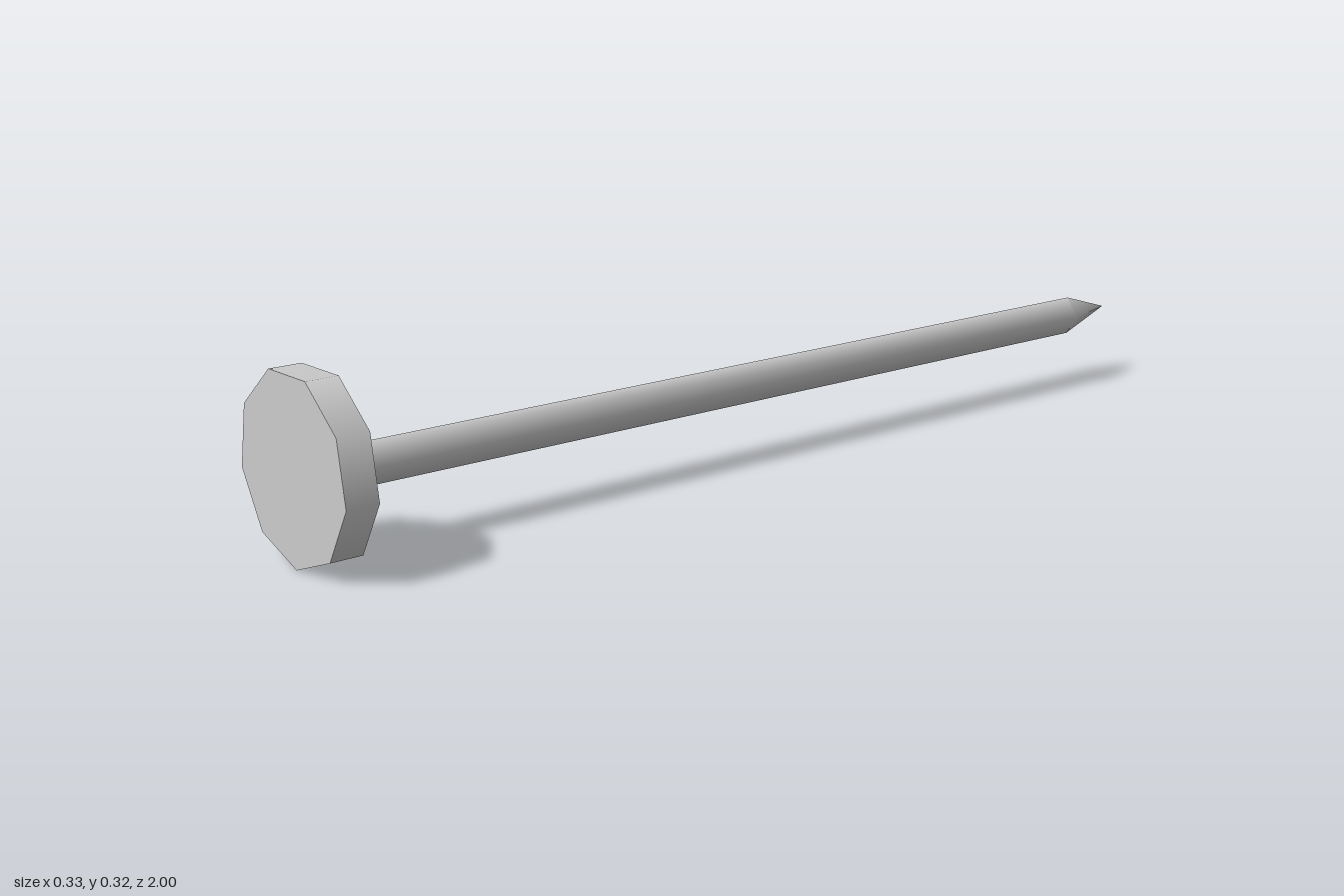
import * as THREE from 'three';

export function createModel() {
  const nail = new THREE.Group();
  nail.name = 'nail';
  const steel = new THREE.MeshStandardMaterial({ color: 0xcccccc });

  // Prism along z from zBack to zFront, smooth around the sides
  function rod(name, rFront, rBack, sides, start, x, y, zFront, zBack) {
    const geo = new THREE.CylinderGeometry(rFront, rBack, zFront - zBack, sides, 1, false, start);
    geo.rotateX(Math.PI / 2);
    const mesh = new THREE.Mesh(geo, steel);
    mesh.name = name;
    mesh.position.set(x, y, (zFront + zBack) / 2);
    nail.add(mesh);
  }

  const shaftR = 0.0405, shaftX = -0.026, shaftY = 0.147;

  // Nine-sided head with a corner pointing down
  rod('head', 0.166, 0.166, 9, 0, 0, 0.166, 1, 0.94);
  // Five-sided shaft, slightly off the head's centre, with a corner towards +x
  rod('shaft', shaftR, shaftR, 5, Math.PI / 2, shaftX, shaftY, 0.94, -0.87);
  // Pointed tip
  rod('tip', shaftR, 0, 5, Math.PI / 2, shaftX, shaftY, -0.87, -1);

  return nail;
}
